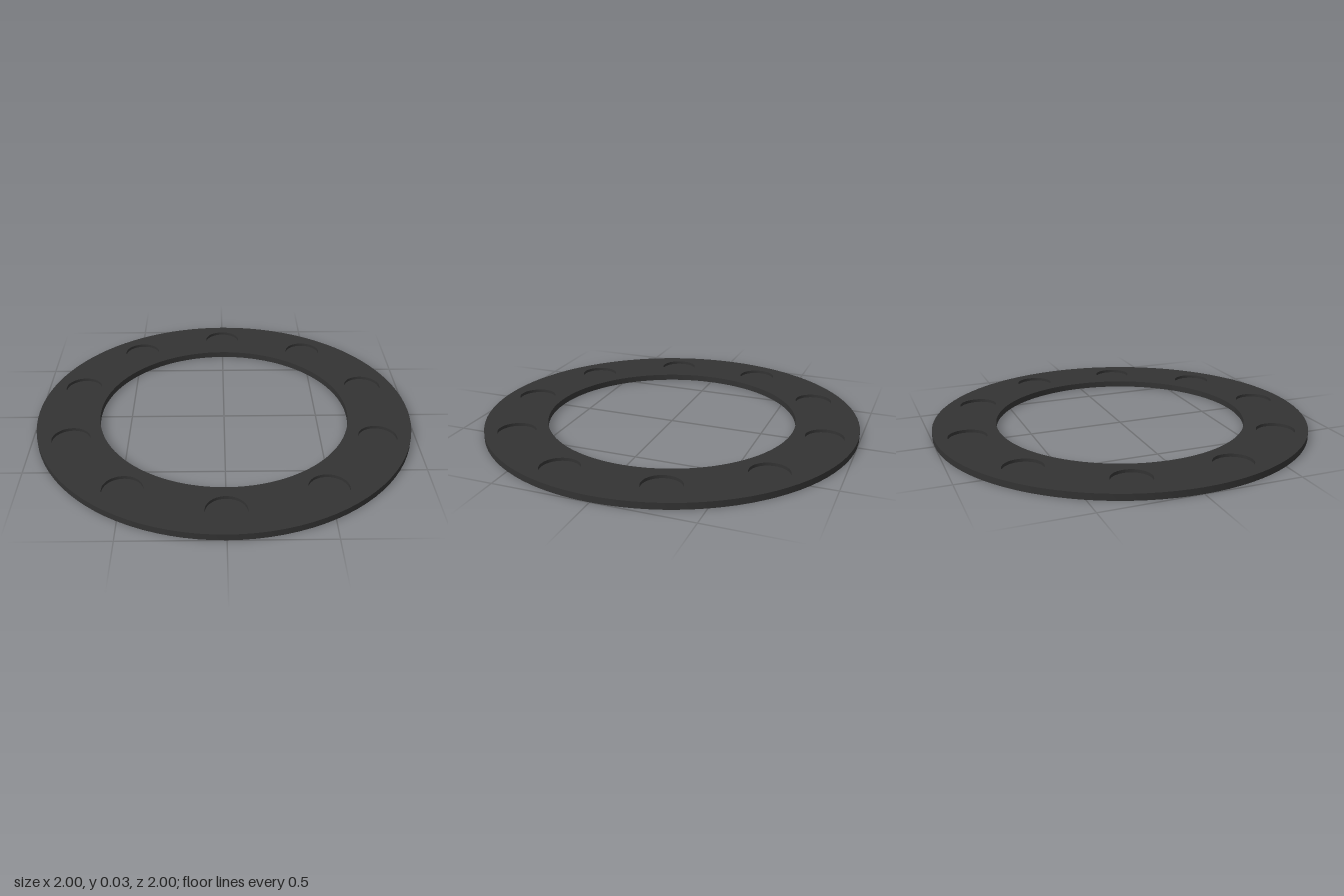
import * as THREE from 'three';
import { toCreasedNormals } from 'three/addons/utils/BufferGeometryUtils.js';

const OUTER = 1, INNER = 0.667, HEIGHT = 0.033;
const POCKETS = 10, POCKET_R = 0.1, POCKET_DEPTH = 0.016;
const POCKET_RING = (OUTER + INNER) / 2;
const SEGMENTS = 96;

const material = new THREE.MeshStandardMaterial({ color: 0x333333 });

// Sharp-edged turned surface from [radius, height] pairs
function turned(name, profile) {
  const points = profile.map(([r, y]) => new THREE.Vector2(r, y));
  const geometry = toCreasedNormals(new THREE.LatheGeometry(points, SEGMENTS), 0.6);
  const mesh = new THREE.Mesh(geometry, material);
  mesh.name = name;
  return mesh;
}

function circle(path, x, y, r) {
  path.absarc(x, y, r, 0, Math.PI * 2, false);
  return path;
}

export function createModel() {
  const group = new THREE.Group();
  group.name = 'pocketedRing';

  // Inner wall, underside and outer wall
  group.add(turned('ringBody', [[INNER, HEIGHT], [INNER, 0], [OUTER, 0], [OUTER, HEIGHT]]));

  // Top face, pierced by the centre opening and the pockets
  const face = circle(new THREE.Shape(), 0, 0, OUTER);
  face.holes.push(circle(new THREE.Path(), 0, 0, INNER));

  // Round blind pockets, evenly spaced
  const floor = HEIGHT - POCKET_DEPTH;
  for (let i = 0; i < POCKETS; i++) {
    const a = (i / POCKETS) * Math.PI * 2;
    const x = Math.sin(a) * POCKET_RING, z = Math.cos(a) * POCKET_RING;
    face.holes.push(circle(new THREE.Path(), x, -z, POCKET_R));
    const pocket = turned('pocket' + (i + 1), [[POCKET_R, HEIGHT], [POCKET_R, floor], [0, floor]]);
    pocket.position.set(x, 0, z);
    group.add(pocket);
  }

  const top = new THREE.Mesh(new THREE.ShapeGeometry(face, SEGMENTS / 2), material);
  top.name = 'topFace';
  top.rotation.x = -Math.PI / 2;
  top.position.y = HEIGHT;
  group.add(top);

  return group;
}
